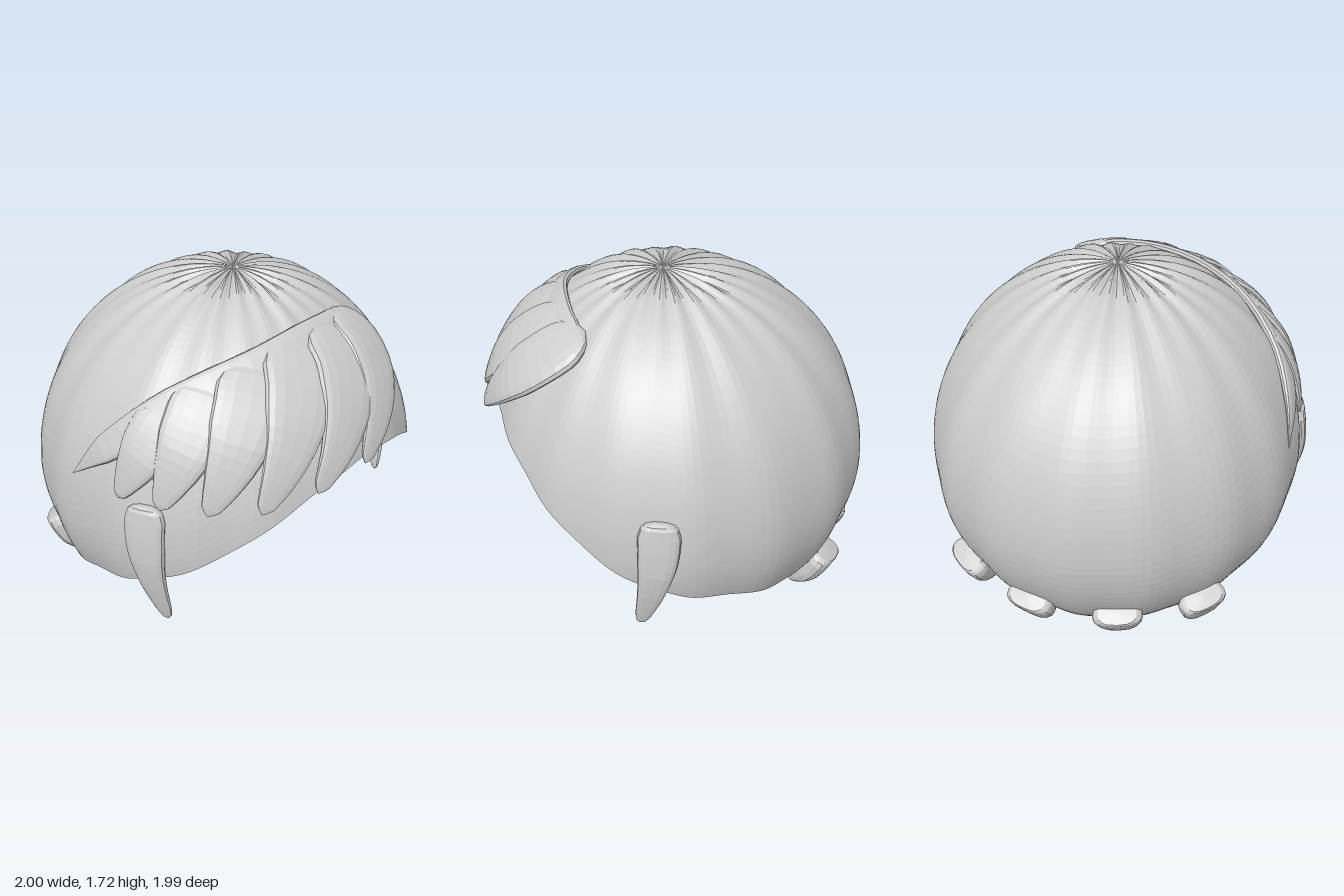
import * as THREE from 'three';

const CY = 0.65, CZ = 0.06, RX = 0.98;
const ryAt = (y) => (y > CY ? 1.07 : 0.91);
const rzAt = (front) => (front ? 0.9 : 1.055);

// Outward direction of the head shape at a point
function headNormal(p) {
  return new THREE.Vector3(
    p.x / RX ** 2,
    (p.y - CY) / ryAt(p.y) ** 2,
    (p.z - CZ) / rzAt(p.z > CZ) ** 2
  ).normalize();
}

// Point on the head at azimuth phi (0 = front, + = model's left) and height y
function onHead(phi, y, lift = 0) {
  const r = Math.sqrt(Math.max(0, 1 - ((y - CY) / ryAt(y)) ** 2));
  const c = Math.cos(phi);
  const p = new THREE.Vector3(RX * r * Math.sin(phi), y, CZ + rzAt(c > 0) * r * c);
  return p.addScaledVector(headNormal(p), lift);
}

// Linear lookup in a list of [key, value] pairs
function lookup(table, t) {
  for (let i = 1; i < table.length; i++) {
    const [a, va] = table[i - 1], [b, vb] = table[i];
    if (t <= b) return va + (vb - va) * Math.max(0, (t - a) / (b - a));
  }
  return table[table.length - 1][1];
}

function gridGeometry(positions, index) {
  const g = new THREE.BufferGeometry();
  g.setAttribute('position', new THREE.Float32BufferAttribute(positions, 3));
  g.setIndex(index);
  g.computeVertexNormals();
  return g;
}

// Hair cap: rippled dome whose hem is high in front and low at the nape
function capGeometry() {
  const hemCurve = new THREE.CatmullRomCurve3([[-1, 0.02], [-0.75, 0.1], [-0.51, 0.2],
    [-0.06, 0.36], [0.155, 0.41], [0.4, 0.5], [0.6, 0.62], [0.8, 0.78], [1, 0.98]]
    .map(([c, y]) => new THREE.Vector3(c, y, 0)));
  const hem = hemCurve.getPoints(64).map((p) => [p.x, p.y]);
  const cols = 132, rows = 44, pos = [], idx = [];
  for (let i = 0; i <= rows; i++) {
    for (let j = 0; j <= cols; j++) {
      const phi = (j / cols) * Math.PI * 2;
      const yEnd = lookup(hem, Math.cos(phi));
      const th = (i / rows) * Math.acos((yEnd - CY) / ryAt(yEnd));
      const y = CY + ryAt(th < Math.PI / 2 ? 9 : 0) * Math.cos(th);
      const p = onHead(phi, y);
      const crown = Math.exp(-th * 2.5) * Math.min(1, th * 5);
      const k = 1 - 0.006 * Math.sin(th) * Math.cos(15 * phi)
        + 0.016 * crown * (Math.sin(22 * phi + Math.sin(3 * phi)) - 0.3);
      pos.push(p.x * k, CY + (p.y - CY) * k, CZ + (p.z - CZ) * k);
    }
  }
  const w = cols + 1;
  for (let i = 0; i < rows; i++) {
    for (let j = 0; j < cols; j++) {
      const a = i * w + j, b = a + 1, c = a + w, d = c + 1;
      idx.push(a, c, b, b, c, d);
    }
  }
  return gridGeometry(pos, idx);
}

// Tapered lock lofted along a path, lying flat against the head
function lockGeometry(points, halfWidth, halfThick, profile, rows = 20, sides = 16) {
  const curve = new THREE.CatmullRomCurve3(points);
  const pos = [], idx = [];
  const round = (v) => Math.sign(v) * Math.abs(v) ** 0.75;
  for (let i = 0; i <= rows; i++) {
    const t = 0.5 - 0.5 * Math.cos((i / rows) * Math.PI);
    const p = curve.getPoint(t), tan = curve.getTangent(t);
    const n = headNormal(p);
    n.addScaledVector(tan, -n.dot(tan)).normalize();
    const side = new THREE.Vector3().crossVectors(n, tan);
    const s = lookup(profile, t);
    const thick = halfThick * Math.min(1, s * 1.2);
    for (let j = 0; j < sides; j++) {
      const a = (j / sides) * Math.PI * 2;
      const q = p.clone()
        .addScaledVector(side, halfWidth * s * round(Math.cos(a)))
        .addScaledVector(n, thick * round(Math.sin(a)));
      pos.push(q.x, q.y, q.z);
    }
  }
  for (let i = 0; i < rows; i++) {
    for (let j = 0; j < sides; j++) {
      const k = (j + 1) % sides;
      const a = i * sides + j, b = i * sides + k, c = a + sides, d = b + sides;
      idx.push(a, b, c, b, d, c);
    }
  }
  return gridGeometry(pos, idx);
}

export function createModel() {
  const model = new THREE.Group();
  model.name = 'hair';
  const hair = new THREE.MeshStandardMaterial({ color: 0xcccccc, side: THREE.DoubleSide, flatShading: true });
  hair.name = 'hairGrey';
  const add = (name, geometry, parent = model) => {
    const mesh = new THREE.Mesh(geometry, hair);
    mesh.name = name;
    parent.add(mesh);
  };
  add('hairCap', capGeometry());

  // Swept fringe: overlapping locks [rootPhi, rootY, tipPhi, tipY, halfWidth]
  const fringe = new THREE.Group();
  fringe.name = 'fringe';
  model.add(fringe);
  const fringeProfile = [[0, 0], [0.02, 0.45], [0.07, 0.8], [0.16, 1], [0.4, 0.95],
    [0.65, 0.68], [0.85, 0.42], [0.96, 0.25], [1, 0]];
  const lifts = [[0, 0], [0.25, 0.045], [0.55, 0.075], [1, 0.075]];
  [
    [0.46, 1.55, -0.12, 0.99, 0.16],
    [0.12, 1.55, -0.41, 0.94, 0.17],
    [-0.3, 1.54, -0.69, 0.89, 0.17],
    [-0.65, 1.49, -0.95, 0.89, 0.17],
    [-0.98, 1.42, -1.2, 0.89, 0.16],
    [-1.23, 1.31, -1.45, 0.89, 0.14],
  ].forEach(([p0, y0, p1, y1, w]) => {
    const pts = [0, 0.25, 0.5, 0.75, 1].map((t) => {
      const phi = p0 + (p1 - p0) * t;
      const lift = 0.005 + lookup(lifts, t) * Math.cos(phi);
      return onHead(phi, y0 + (y1 - y0) * t, lift);
    });
    add('fringeLock', lockGeometry(pts, w, 0.036, fringeProfile), fringe);
  });

  // Long lock along the fringe's upper edge, ending in a thin point at the side
  const bandPath = [[0.48, 1.5], [0.2, 1.5], [-0.2, 1.5], [-0.6, 1.46], [-1, 1.38],
    [-1.35, 1.24], [-1.6, 1.07], [-1.78, 0.88]].map(([phi, y]) => onHead(phi, y, 0.012));
  const bandProfile = [[0, 0], [0.03, 0.6], [0.1, 0.9], [0.2, 1], [0.65, 1], [0.85, 0.65], [1, 0]];
  add('fringeUpperLock', lockGeometry(bandPath, 0.11, 0.03, bandProfile, 32), fringe);

  // Sideburns and nape tufts, mirrored left and right
  const burnProfile = [[0, 0], [0.01, 0.6], [0.05, 0.85], [0.14, 1], [0.4, 0.93],
    [0.7, 0.66], [0.92, 0.38], [0.98, 0.22], [1, 0]];
  const tuftProfile = [[0, 0], [0.02, 0.75], [0.08, 0.95], [0.2, 1], [0.55, 0.82],
    [0.8, 0.55], [0.94, 0.33], [1, 0]];
  for (const s of [1, -1]) {
    const V = (x, y, z) => new THREE.Vector3(s * x, y, z);
    const label = s > 0 ? 'left' : 'right';
    add(label + 'Sideburn', lockGeometry(
      [V(0.923, 0.89, 0.31), V(0.948, 0.7, 0.325), V(0.942, 0.5, 0.355), V(0.885, 0.24, 0.405)],
      0.105, 0.038, burnProfile));
    add(label + 'InnerNapeTuft', lockGeometry(
      [V(0.235, 0.26, -0.88), V(0.22, 0.13, -0.785), V(0.2, 0.01, -0.65)], 0.13, 0.065, tuftProfile));
    add(label + 'OuterNapeTuft', lockGeometry(
      [V(0.635, 0.275, -0.675), V(0.605, 0.15, -0.6), V(0.545, 0.04, -0.5)], 0.13, 0.065, tuftProfile));
  }
  return model;
}
